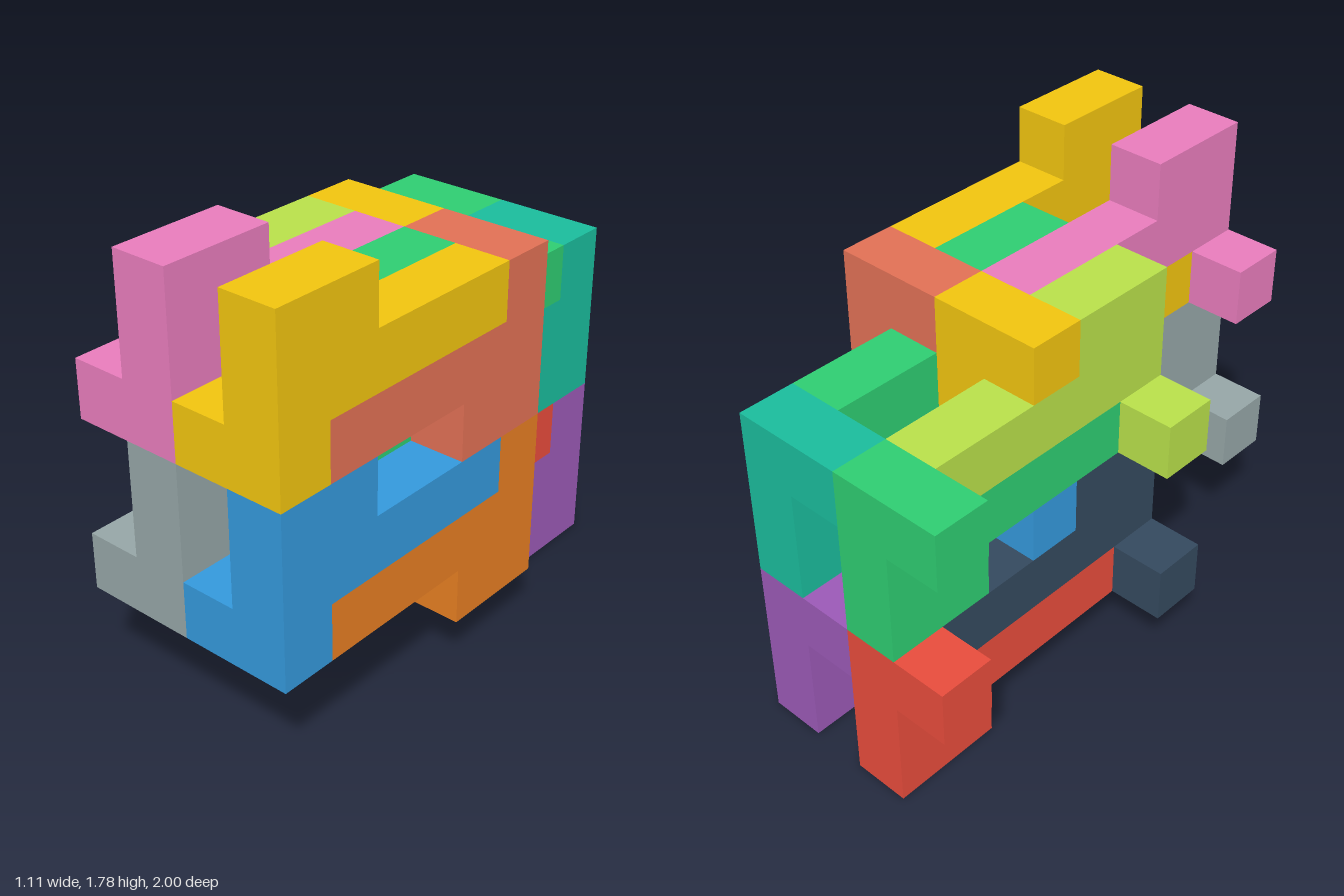
import * as THREE from 'three';
import { mergeGeometries } from 'three/addons/utils/BufferGeometryUtils.js';

const U = 2 / 9; // edge of one cube cell

// One puzzle piece in cell units, centred on its five-cell bar (along z):
// a two-cell step above the front end, one cell below it, and a side stub.
function pieceGeometry() {
  const outline = [
    [-2.5, -0.5], [1.5, -0.5], [1.5, -1.5], [2.5, -1.5],
    [2.5, 1.5], [0.5, 1.5], [0.5, 0.5], [-2.5, 0.5],
  ].map(([z, y]) => new THREE.Vector2(z, y));
  const body = new THREE.ExtrudeGeometry(new THREE.Shape(outline), { depth: 1, bevelEnabled: false });
  body.translate(0, 0, -0.5).rotateY(-Math.PI / 2);
  const stub = new THREE.BoxGeometry(1, 1, 1).toNonIndexed();
  stub.translate(-1, -1, 2);
  return mergeGeometries([body, stub]).scale(U, U, U);
}

// Places in one layer: column i, row j, bar centre k, and whether the piece is turned over
const PLACES = [
  { name: 'frontLeftHook', i: 4, j: 3, k: 6, turned: false },
  { name: 'frontMiddleHook', i: 2, j: 3, k: 6, turned: false },
  { name: 'innerLeftHook', i: 3, j: 2, k: 3, turned: false },
  { name: 'innerRightHook', i: 1, j: 2, k: 3, turned: false },
  { name: 'centreLeftTurnedHook', i: 4, j: 2, k: 5, turned: true },
  { name: 'centreMiddleTurnedHook', i: 2, j: 2, k: 5, turned: true },
  { name: 'backLeftTurnedHook', i: 3, j: 1, k: 2, turned: true },
  { name: 'backRightTurnedHook', i: 1, j: 1, k: 2, turned: true },
];

// Colours of each layer, in the order of the places
const LAYERS = [
  { name: 'lower', colors: [0x3498db, 0x95a5a6, 0xe74c3c, 0x34495e, 0xe67e22, 0x3498db, 0x9b59b6, 0xe74c3c] },
  { name: 'upper', colors: [0xf1c40f, 0xe87cbc, 0x2ecc71, 0xb8e04a, 0xe17055, 0xf1c40f, 0x1abc9c, 0x2ecc71] },
];

export function createModel() {
  const model = new THREE.Group();
  model.name = 'interlockingPuzzle';
  const geometry = pieceGeometry();

  // Two identical layers of eight pieces, stacked three cells apart
  LAYERS.forEach((layer, n) => {
    const group = new THREE.Group();
    group.name = `${layer.name}Layer`;
    group.position.y = 3 * n * U;
    PLACES.forEach(({ name, i, j, k, turned }, p) => {
      const mesh = new THREE.Mesh(geometry, new THREE.MeshStandardMaterial({ color: layer.colors[p] }));
      mesh.name = name;
      mesh.position.set((i - 2) * U, (j + 0.5) * U, (k - 4) * U);
      if (turned) mesh.rotation.x = Math.PI;
      group.add(mesh);
    });
    model.add(group);
  });
  return model;
}
